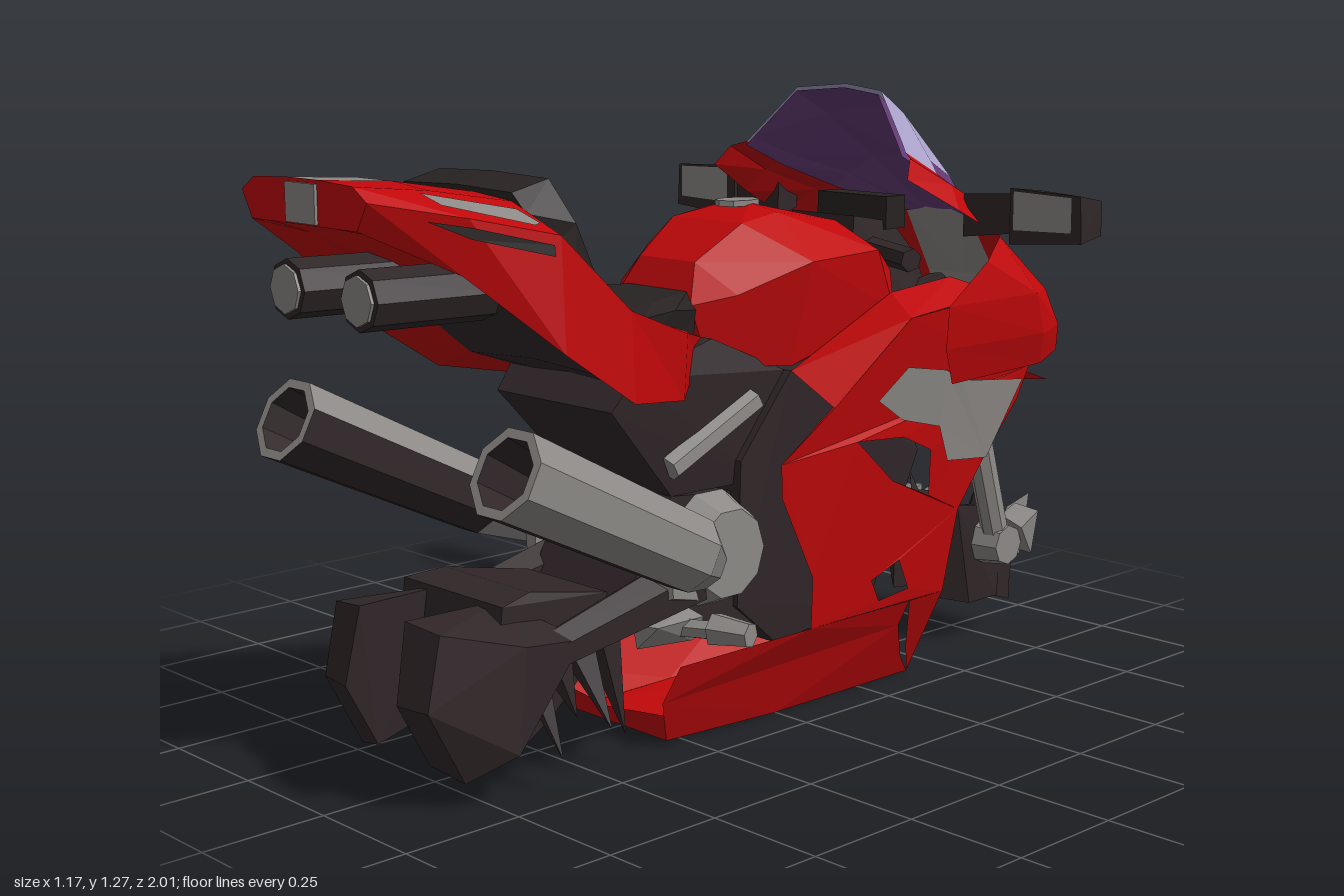
import * as THREE from 'three';
import { ConvexGeometry } from 'three/addons/geometries/ConvexGeometry.js';

const paint = (name, color) => new THREE.MeshStandardMaterial({ name, color, flatShading: true, side: THREE.DoubleSide });
const red = paint('red', 0xc0080a), dark = paint('dark metal', 0x302628), black = paint('seat black', 0x282222),
  grey = paint('grey', 0x8c8986), lilac = paint('screen lilac', 0xaaa2ca), purple = paint('screen purple', 0x623a74);

export function createModel() {
  const root = new THREE.Group();
  const V = (p) => new THREE.Vector3(...p);
  const add = (name, geo, mat) => {
    const m = new THREE.Mesh(geo, mat);
    m.name = name;
    root.add(m);
    return m;
  };
  const soup = (name, tris, mat) => {
    const g = new THREE.BufferGeometry();
    g.setAttribute('position', new THREE.Float32BufferAttribute(tris.flat(2), 3));
    g.computeVertexNormals();
    return add(name, g, mat);
  };
  const flip = (p) => [-p[0], p[1], p[2]];
  const both = (tris) => tris.concat(tris.map(([a, b, c]) => [flip(a), flip(c), flip(b)]));

  // Mirrored faceted skin through rows of points, one material per cell
  function skin(name, rows, pick, caps) {
    const byMat = new Map();
    const put = (mat, ...t) => byMat.set(mat, (byMat.get(mat) || []).concat(t));
    for (let r = 0; r + 1 < rows.length; r++)
      for (let c = 0; c + 1 < rows[r].length; c++) {
        const [a, b, d, e] = [rows[r][c], rows[r][c + 1], rows[r + 1][c], rows[r + 1][c + 1]];
        put(pick(r, c), [a, b, e], [a, e, d]);
      }
    if (caps) for (const row of [rows[0], rows[rows.length - 1]])
      for (let c = 1; c + 1 < row.length; c++) put(pick(0, 1), [row[0], row[c], row[c + 1]]);
    for (const [mat, tris] of byMat) soup(name, both(tris), mat);
  }
  // Rows given as [z, [x, y], ...]
  const sections = (list) => list.map(([z, ...pts]) => pts.map(([x, y]) => [x, y, z]));
  // Flat fan plate, mirrored
  const plate = (name, mat, pts) => soup(name, both(pts.slice(2).map((p, i) => [pts[0], pts[i + 1], p])), mat);
  // Convex block, symmetric about the centre plane
  const block = (name, mat, pts) => add(name, new ConvexGeometry([...pts, ...pts.map(flip)].map(V)), mat);
  // Separate convex block on each side
  const pairBlock = (name, mat, pts) => [pts, pts.map(flip)].forEach((l) => add(name, new ConvexGeometry(l.map(V)), mat));
  // Rod between two points, on each side
  function rods(name, mat, a, b, r1, r2 = r1, sides = 8) {
    for (const s of [1, -1]) {
      const p = V([s * a[0], a[1], a[2]]), q = V([s * b[0], b[1], b[2]]), d = q.clone().sub(p);
      const m = add(name, new THREE.CylinderGeometry(r2, r1, d.length(), sides), mat);
      m.position.copy(p).add(q).multiplyScalar(0.5);
      m.quaternion.setFromUnitVectors(new THREE.Vector3(0, 1, 0), d.normalize());
    }
  }
  const box = (name, mat, size, pos) => add(name, new THREE.BoxGeometry(...size), mat).position.set(...pos);

  // Nose cowl with grey centre panel and lamps
  skin('noseCowl', [
    [[0, .70, -.80], [.10, .70, -.805], [.17, .70, -.79], [.29, .69, -.74], [.34, .68, -.62], [.34, .67, -.33]],
    [[0, .75, -.795], [.10, .75, -.795], [.16, .755, -.785], [.31, .75, -.72], [.365, .75, -.6], [.365, .75, -.28]],
    [[0, .83, -.765], [.10, .83, -.765], [.17, .84, -.75], [.30, .83, -.685], [.375, .84, -.56], [.38, .84, -.27]],
    [[0, .99, -.68], [.09, .98, -.67], [.13, .97, -.65], [.21, .95, -.62], [.32, .96, -.5], [.37, .92, -.4]],
  ], (r, c) => (c === 0 || (r === 1 && c === 2) ? grey : red));
  skin('cowlShoulder', [
    [[.09, .98, -.67], [.15, .97, -.65], [.21, .95, -.62]],
    [[.18, 1.04, -.53], [.24, 1.02, -.53], [.32, .96, -.5]],
    [[.22, 1.09, -.41], [.27, 1.07, -.4], [.31, 1.02, -.38]],
    [[.23, 1.14, -.3], [.26, 1.13, -.28], [.28, 1.09, -.25]],
  ], () => red);

  // Windscreen, lilac outside with purple lower edges and lining
  const screen = [
    [[0, .99, -.69], [.04, .99, -.685], [.068, .985, -.68], [.10, .98, -.67]],
    [[0, 1.12, -.57], [.09, 1.11, -.56], [.145, 1.07, -.545], [.18, 1.04, -.53]],
    [[0, 1.23, -.45], [.11, 1.21, -.43], [.2, 1.115, -.414], [.22, 1.09, -.41]],
    [[0, 1.27, -.37], [.12, 1.26, -.345], [.215, 1.157, -.307], [.23, 1.14, -.3]],
  ];
  skin('windscreen', screen, (r, c) => (c === 2 && r < 2 ? purple : lilac));
  skin('windscreenLining', screen.map((r) => r.map(([x, y, z]) => [x * .98, y - .008, z + .006])), () => purple);

  // Side fairing panels, drawn in (z, y), bent outwards with height and drawn in towards both ends
  const flare = (y, z) => (y < .2 ? .16 + .5 * y : .26 + .13 * (y - .2)) * (1 - .4 * Math.max(0, z) - .2 * Math.max(0, -z - .35));
  function panel(name, mat, outline, holes = [], lift = 0) {
    const toShape = (l, C) => new C(l.map((p) => new THREE.Vector2(...p)));
    const shape = toShape(outline, THREE.Shape);
    shape.holes = holes.map((h) => toShape(h, THREE.Path));
    for (const s of [1, -1]) {
      const g = new THREE.ShapeGeometry(shape), p = g.attributes.position;
      for (let i = 0; i < p.count; i++) p.setXYZ(i, s * (flare(p.getY(i), p.getX(i)) + lift), p.getY(i), p.getX(i));
      g.computeVertexNormals();
      add(name, g, mat);
    }
  }
  panel('sideFairing', red,
    [[.12, .56], [0, .66], [-.2, .82], [-.45, .84], [-.63, .67], [-.6, .6], [-.5, .48], [-.43, .38], [-.41, .2], [0, .2], [.01, .31], [.11, .49]],
    [[[-.08, .58], [-.22, .57], [-.31, .53], [-.32, .43], [-.2, .48]], [[-.17, .27], [-.25, .3], [-.29, .23], [-.2, .22]]]);
  panel('lowerFairing', red, [[.32, .18], [.335, .1], [.29, .005], [0, 0], [-.41, 0], [-.36, .05], [-.3, .14], [-.3, .2], [0, .2]]);
  panel('fairingTip', red, [[-.3, .2], [-.41, .2], [-.41, 0], [-.36, .08]]);
  panel('fairingPatch', grey,
    [[-.12, .66], [-.2, .72], [-.32, .70], [-.38, .67], [-.6, .645], [-.5, .485], [-.36, .5], [-.32, .58], [-.2, .61]], [], .008);
  plate('bellyPan', red, [[0, 0, -.41], [.158, 0, -.41], [.16, 0, 0], [.143, .005, .29], [0, .005, .29]]);
  plate('bellyRear', red, [[0, .005, .29], [.143, .005, .29], [.17, .07, .32], [0, .05, .32]]);
  plate('fairingShelf', red, [[.34, .82, -.2], [.25, .86, -.24], [.27, .88, -.4], [.36, .85, -.45]]);
  plate('fairingShelfRear', red, [[.34, .82, -.2], [.25, .86, -.24], [.2, .72, 0], [.32, .66, 0]]);

  // Fuel tank and oval cap
  block('fuelTank', red, [
    [.03, 1.04, -.05], [.1, 1.025, -.06], [.12, 1.0, -.21], [.1, 1.01, .04], [.08, .94, .15], [.25, .95, -.2], [.24, .94, -.02],
    [.17, .88, .12], [.22, .9, -.27], [.24, .82, -.26], [.2, .77, -.18], [.2, .73, 0], [.13, .74, .16], [.11, .86, .19]]);
  add('tankCap', new THREE.CylinderGeometry(.038, .038, .012, 8).scale(1, 1, 1.35), grey).position.set(0, 1.04, -.045);

  // Tail with grey stripe, red flanks and dark underside
  skin('tail', sections([
    [1.0, [0, 1.15], [.05, 1.15], [.15, 1.145], [.19, 1.12], [.16, 1.07], [.1, 1.07], [0, 1.07]],
    [.85, [0, 1.14], [.05, 1.14], [.16, 1.13], [.27, 1.09], [.25, .99], [.2, 1.03], [0, 1.05]],
    [.67, [0, 1.11], [.05, 1.11], [.16, 1.1], [.295, 1.05], [.305, .84], [.2, .91], [0, .92]],
    [.5, [0, .88], [.05, .88], [.18, .9], [.285, .9], [.295, .73], [.19, .77], [0, .78]],
    [.3, [0, .84], [.05, .84], [.16, .84], [.22, .83], [.21, .7], [.16, .7], [0, .7]],
    [.18, [0, .79], [.05, .79], [.1, .8], [.13, .8], [.12, .76], [.08, .76], [0, .76]],
  ]), (r, c) => (c === 5 && r > 1 ? dark : c === 0 && r < 2 ? grey : red), true);
  plate('tailSideMark', grey, [[.187, 1.13, .89], [.235, 1.112, .88], [.275, 1.069, .71], [.262, 1.071, .69], [.21, 1.092, .7]]);
  plate('tailSlit', black, [[.278, 1.055, .85], [.245, 1.088, .92], [.278, 1.075, .85], [.302, 1.035, .69], [.304, 1.015, .69]]);
  box('tailRearMark', grey, [.09, .07, .008], [0, 1.108, 1.002]);
  rods('tailPipe', dark, [.11, .94, .7], [.11, .945, .965], .055, .055, 8);
  rods('tailPipeLens', grey, [.11, .945, .966], [.11, .945, .972], .045, .045, 8);

  // Seat with raised back
  skin('seat', sections([
    [.17, [0, .885], [.08, .885], [.11, .85], [.1, .79], [0, .79]],
    [.3, [0, .885], [.13, .885], [.185, .87], [.17, .8], [0, .8]],
    [.42, [0, .875], [.17, .875], [.225, .87], [.22, .82], [0, .82]],
    [.52, [0, .93], [.18, .93], [.235, .92], [.23, .84], [0, .84]],
    [.585, [0, 1.14], [.16, 1.135], [.235, 1.06], [.235, .87], [0, .87]],
    [.67, [0, 1.12], [.16, 1.115], [.2, 1.08], [.19, .97], [0, .97]],
  ]), () => black, true);

  // Mirrors on stalks
  pairBlock('mirrorStalk', dark, [
    [.27, .96, -.44], [.27, 1.05, -.44], [.43, .98, -.44], [.43, 1.06, -.44], [.27, .98, -.5], [.27, 1.04, -.5], [.43, 1, -.5], [.43, 1.05, -.5]]);
  pairBlock('mirrorHousing', dark, [
    [.4, .955, -.43], [.4, 1.07, -.43], [.585, .97, -.425], [.58, 1.065, -.425], [.41, .98, -.52], [.41, 1.06, -.52], [.57, .98, -.51], [.57, 1.05, -.51]]);
  plate('mirrorGlass', grey, [[.415, .985, -.421], [.565, .99, -.418], [.565, 1.062, -.418], [.415, 1.066, -.421]]);

  // Steering head, dash and bars
  block('steeringHead', dark, [[.09, 1.0, -.3], [.09, .98, -.42], [.1, .86, -.28], [.13, .68, -.56], [.12, .66, -.42], [.07, .9, -.52]]);
  rods('handlebar', dark, [.06, .93, -.36], [.25, .92, -.3], .025, .025, 6);
  box('dash', black, [.2, .07, .06], [0, 1.0, -.42]);

  // Engine and frame
  block('engine', dark, [[.2, .72, 0], [.19, .72, -.3], [.19, .5, -.4], [.17, .18, -.27], [.16, .15, 0], [.17, .25, .12], [.18, .55, .12]]);
  block('subframe', dark, [[.16, .8, .18], [.18, .75, .4], [.17, .69, .45], [.15, .5, .28], [.16, .5, .05], [.18, .72, 0]]);
  block('gearbox', dark, [[.15, .5, .28], [.15, .48, .05], [.16, .22, .3], [.16, .2, .05], [.14, .3, .4]]);
  rods('frameStrut', grey, [.175, .67, .08], [.165, .56, .3], .026, .026, 6);
  rods('clutchCover', grey, [.15, .38, .18], [.215, .38, .18], .12, .09, 10);
  pairBlock('footrestBracket', grey, [
    [.17, .46, .36], [.22, .44, .35], [.18, .46, .25], [.21, .3, .26], [.17, .3, .36], [.22, .32, .34]]);
  pairBlock('footrestMount', grey, [[.17, .27, .4], [.22, .27, .38], [.17, .22, .39], [.17, .28, .26], [.22, .27, .26], [.2, .22, .27]]);
  rods('footrest', grey, [.19, .25, .3], [.28, .255, .27], .02, .02, 6);
  rods('footrestPad', grey, [.26, .255, .27], [.34, .255, .25], .035, .025, 6);

  // Exhaust cans: link cone, shell with dark inner underside, rim and hollow mouth
  const ring = (x, y, z, r) => Array.from({ length: 9 }, (_, i) => {
    const a = (i - .5) * Math.PI / 4, v = Math.sin(a) * r;
    return [x + Math.cos(a) * r, y + .89 * v, z - .455 * v];
  });
  skin('exhaust', [
    ring(.24, .38, .27, .05), ring(.315, .435, .385, .076), ring(.335, .66, .835, .086),
    ring(.335, .66, .835, .067), ring(.328, .594, .72, .06), ring(.328, .594, .72, 0),
  ], (r, c) => (r > 2 || (r === 1 && c > 3 && c < 7) ? dark : grey));

  // Rear wheel remnant: core, two separate rear lumps and ragged spikes
  block('rearWheelCore', dark, [
    [.15, .36, .7], [.13, .37, .62], [.12, .33, .42], [.12, .22, .44], [.14, .12, .58], [.15, .08, .66], [.15, .2, .72]]);
  pairBlock('rearWheelSide', dark, [
    [.07, .35, .86], [.16, .34, .85], [.22, .3, .7], [.08, .2, .89], [.16, .2, .88], [.08, .07, .82], [.16, .05, .8],
    [.22, .1, .72], [.1, .12, .6], [.2, .28, .55], [.08, .35, .65]]);
  rods('swingArm', dark, [.16, .33, .25], [.17, .26, .6], .06, .04, 6);
  for (let i = 0; i < 4; i++)
    rods('rearWheelShard', dark, [.15, .24, .46 + i * .06], [.19 + (i % 2) * .03, .07 + (i % 3) * .03, .44 + i * .06], .035, .001, 4);

  // Front fork and wheel remnant
  rods('forkUpper', dark, [.13, .85, -.5], [.14, .54, -.64], .035, .03, 8);
  rods('forkLower', grey, [.14, .55, -.64], [.15, .2, -.735], .032, .03, 8);
  rods('axleClamp', grey, [.11, .23, -.73], [.18, .23, -.73], .055, .045, 8);
  pairBlock('frontWheelRemnant', dark, [
    [.04, .32, -.6], [.12, .33, -.62], [.05, .11, -.6], [.11, .09, -.68], [.05, .09, -.77], [.11, .09, -.78], [.04, .29, -.8], [.1, .3, -.8]]);
  plate('brakeDisc', dark, [[.105, .29, -.76], [.105, .26, -.85], [.105, .11, -.83], [.105, .07, -.83], [.105, .1, -.74]]);
  plate('brakeCaliper', grey, [[.125, .25, -.755], [.125, .3, -.79], [.125, .32, -.87], [.125, .26, -.86], [.125, .18, -.84], [.125, .2, -.79]]);
  pairBlock('caliperBody', grey, [
    [.14, .31, -.8], [.2, .3, -.81], [.14, .2, -.81], [.19, .2, -.8], [.14, .29, -.75], [.2, .27, -.75]]);
  for (let i = 0; i < 3; i++)
    rods('frontWheelShard', dark, [.08, .28, -.6 - i * .06], [.1, .36 - (i % 2) * .02, -.59 - i * .06], .02, .001, 4);
  plate('forkGuard', red, [[.2, .66, -.6], [.19, .65, -.63], [.18, .56, -.655], [.18, .48, -.67], [.19, .56, -.63]]);
  plate('forkGuardChip', red, [[.12, .52, -.69], [.15, .5, -.7], [.12, .485, -.72]]);

  // Front mudguard remnant: arched kite
  const crest = [[0, .62, -.81], [0, .61, -.9], [0, .59, -.96], [0, .555, -1]];
  const leftRim = [[0, .62, -.81], [.095, .595, -.9], [.09, .57, -.97]], rightRim = [[0, .62, -.81], [-.07, .59, -.91], [-.11, .56, -.965]];
  for (const rim of [leftRim, rightRim]) {
    const loop = [...rim, crest[3]];
    soup('frontMudguard', [0, 1, 2].flatMap((i) => [[crest[i], loop[i], loop[i + 1]], [crest[i], loop[i + 1], crest[i + 1]]]), red);
  }

  return root;
}
